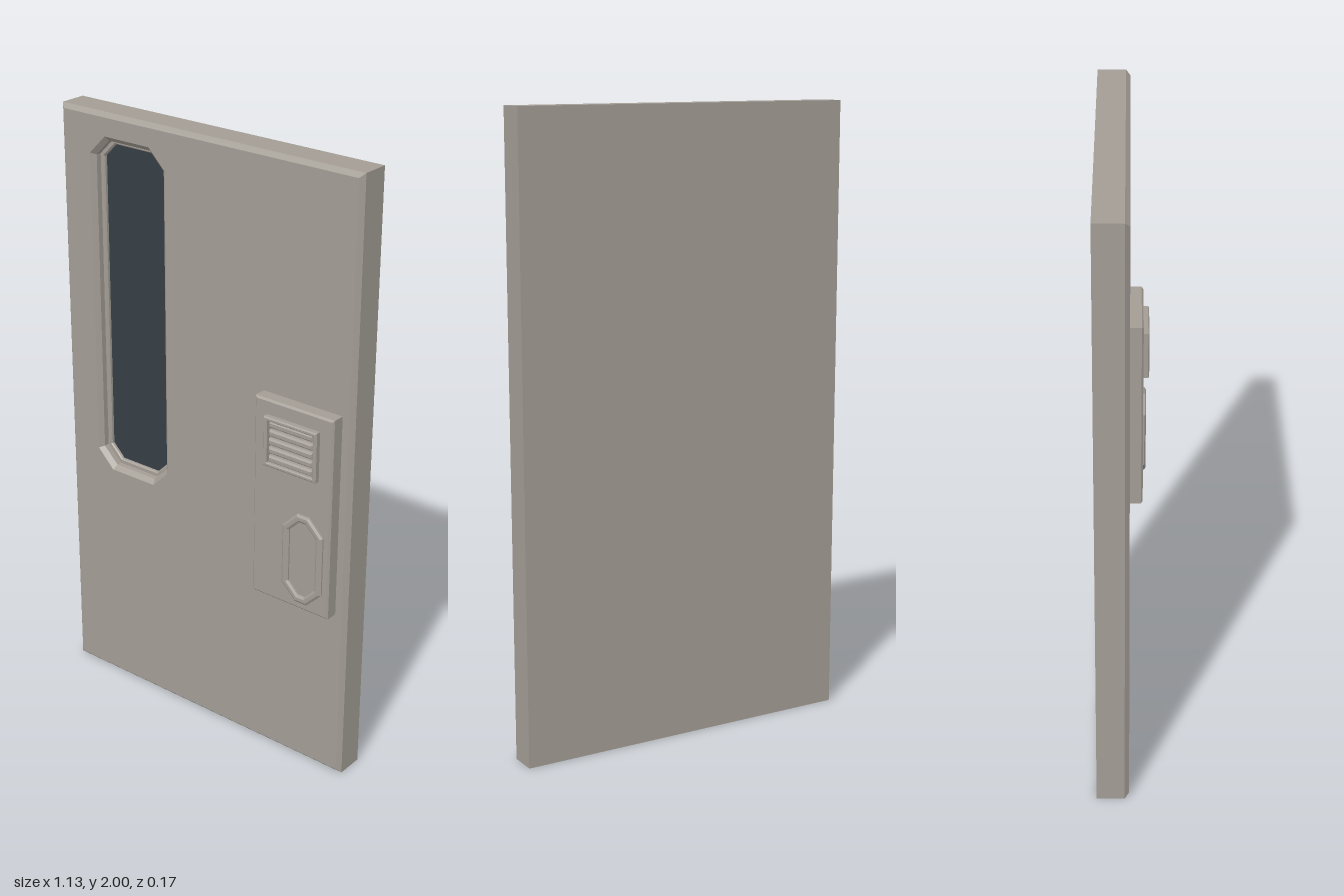
import * as THREE from 'three';

const paint = new THREE.MeshStandardMaterial({ color: 0xa39d95, flatShading: true });
const glassMat = new THREE.MeshStandardMaterial({ color: 0x353d44, flatShading: true });

// Chamfered rectangle outline, anticlockwise from the front; d insets it
function outline({ x0, x1, y0, y1, c = 0 }, d = 0) {
  const l = x0 + d, r = x1 - d, b = y0 + d, t = y1 - d;
  if (!c) return [[l, b], [r, b], [r, t], [l, t]];
  const k = c - d * 0.586;
  return [[l + k, b], [r - k, b], [r, b + k], [r, t - k], [r - k, t], [l + k, t], [l, t - k], [l, b + k]];
}

// Skin through successive [inset, z] steps of one outline, with optional caps
function loft(name, rect, steps, { front = false, back = false, mat = paint } = {}) {
  const rings = steps.map(([d, z]) => outline(rect, d).map(([x, y]) => [x, y, z]));
  const n = rings[0].length;
  const pos = [];
  for (let i = 0; i + 1 < rings.length; i++) {
    for (let j = 0; j < n; j++) {
      const k = (j + 1) % n;
      const a = rings[i][j], b = rings[i][k], c = rings[i + 1][k], d = rings[i + 1][j];
      pos.push(...a, ...b, ...c, ...a, ...c, ...d);
    }
  }
  const first = rings[0], last = rings[rings.length - 1];
  for (let j = 1; j + 1 < n; j++) {
    if (front) pos.push(...last[0], ...last[j], ...last[j + 1]);
    if (back) pos.push(...first[0], ...first[j + 1], ...first[j]);
  }
  const geo = new THREE.BufferGeometry();
  geo.setAttribute('position', new THREE.Float32BufferAttribute(pos, 3));
  geo.computeVertexNormals();
  const mesh = new THREE.Mesh(geo, mat);
  mesh.name = name;
  return mesh;
}

export function createModel() {
  const model = new THREE.Group();
  model.name = 'door';
  const FRONT = 0.02, PANEL = 0.064;

  // Door slab: bevelled front edge, flat back
  const slab = { x0: -0.565, x1: 0.565, y0: 0, y1: 2 };
  model.add(loft('doorSlab', slab, [[0, -0.083], [0, 0.006], [0.014, FRONT]], { back: true }));

  // Front skin with the window opening
  const windowRect = { x0: -0.445, x1: -0.145, y0: 0.793, y1: 1.927, c: 0.062 };
  const toPoints = (pts) => pts.map(([x, y]) => new THREE.Vector2(x, y));
  const skin = new THREE.Shape(toPoints(outline(slab, 0.014)));
  skin.holes.push(new THREE.Path(toPoints(outline(windowRect))));
  const face = new THREE.Mesh(new THREE.ShapeGeometry(skin), paint);
  face.position.z = FRONT;
  face.name = 'doorFace';
  model.add(face);

  // Stepped window recess and its pane
  model.add(loft('windowFrame', windowRect,
    [[0, FRONT], [0.015, 0.006], [0.015, -0.012], [0.026, -0.012], [0.03, -0.016], [0.03, -0.026]]));
  model.add(loft('windowGlass', windowRect, [[0.03, -0.024]], { front: true, mat: glassMat }));

  // Control panel
  const panel = { x0: 0.238, x1: 0.527, y0: 0.588, y1: 1.262 };
  model.add(loft('controlPanel', panel, [[0, FRONT], [0, PANEL - 0.006], [0.006, PANEL]], { front: true }));

  // Vent: surround with five louvres
  const vent = new THREE.Group();
  vent.name = 'vent';
  const ventRect = { x0: 0.285, x1: 0.48, y0: 1.05, y1: 1.214 };
  vent.add(loft('ventSurround', ventRect,
    [[0, PANEL], [0, 0.079], [0.004, 0.083], [0.01, 0.083], [0.013, 0.08], [0.013, PANEL]]));
  for (let i = 0; i < 5; i++) {
    const y = 1.132 + (i - 2) * 0.0285;
    const slat = { x0: 0.301, x1: 0.464, y0: y - 0.0105, y1: y + 0.0105 };
    vent.add(loft('louvre', slat, [[0, PANEL], [0, 0.073], [0.005, 0.079]], { front: true }));
  }
  model.add(vent);

  // Octagonal handle ring
  const handle = { x0: 0.355, x1: 0.505, y0: 0.614, y1: 0.919, c: 0.053 };
  model.add(loft('handleRing', handle,
    [[0, PANEL], [0, 0.069], [0.007, 0.074], [0.018, 0.074], [0.025, 0.069], [0.025, PANEL]]));

  return model;
}
